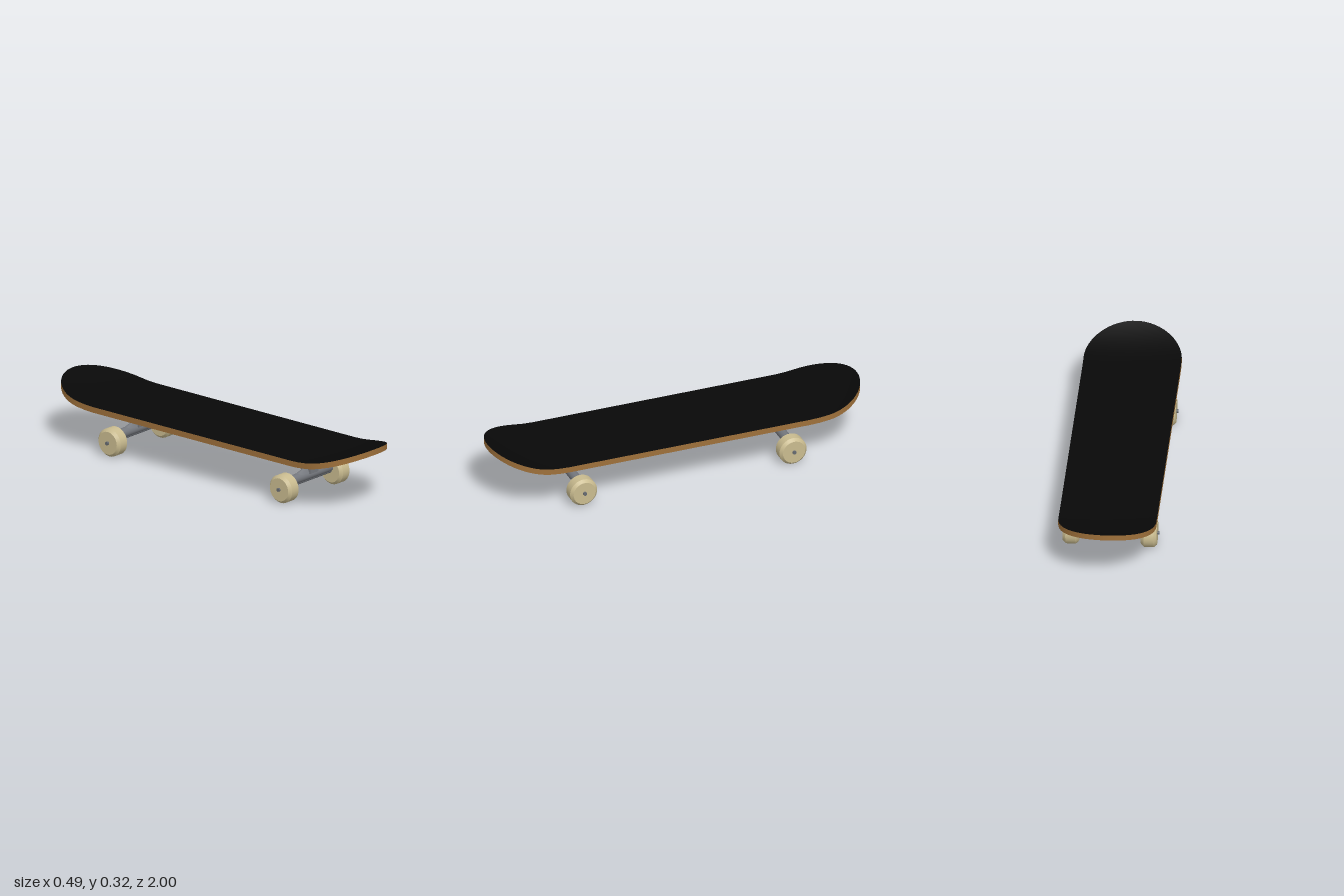
import * as THREE from 'three';

const mat = (name, color) => {
  const m = new THREE.MeshStandardMaterial({ color });
  m.name = name;
  return m;
};

const R = 0.247, C = 0.753;          // deck half width, start of the rounded ends
const THICK = 0.03, KICK_START = 0.65;

// Half width of the deck at z
const halfWidth = (z) => {
  const d = Math.max(Math.abs(z) - C, 0);
  return Math.sqrt(Math.max(R * R - d * d, 0));
};

// Underside height: shallow concave across, upturned nose and tail
const deckY = (x, z) => {
  const t = Math.max(Math.abs(z) - KICK_START, 0) / (1 - KICK_START);
  return 0.209 + 0.011 * (x / R) ** 2 + 0.085 * t * t;
};

// Surface from a rule giving a point for each column i and row j
function surface(nu, nv, point) {
  const pos = [], index = [];
  for (let i = 0; i <= nu; i++) for (let j = 0; j <= nv; j++) pos.push(...point(i, j));
  for (let i = 0; i < nu; i++) for (let j = 0; j < nv; j++) {
    const a = i * (nv + 1) + j, b = a + nv + 1;
    index.push(a, a + 1, b, b, a + 1, b + 1);
  }
  const g = new THREE.BufferGeometry();
  g.setAttribute('position', new THREE.Float32BufferAttribute(pos, 3));
  g.setIndex(index);
  g.computeVertexNormals();
  return g;
}

export function createModel() {
  const grip = mat('black grip', 0x080808);
  const wood = mat('wood edge', 0x9e703a);
  const red = mat('dark red underside', 0x8b1a0a);
  const metal = mat('grey metal', 0x74777d);
  const steel = mat('axle steel', 0x666a70);
  const cream = mat('cream wheel', 0xc9bb8f);

  const model = new THREE.Group();
  model.name = 'skateboard';
  const add = (parent, name, geometry, material, x = 0, y = 0, z = 0) => {
    const mesh = new THREE.Mesh(geometry, material);
    mesh.name = name;
    mesh.position.set(x, y, z);
    parent.add(mesh);
    return mesh;
  };

  // Stations along the deck, closer together around the rounded ends
  const END = 16, MID = 30, zs = [];
  for (let k = 0; k < END; k++) zs.push(-C - R * Math.cos(k / END * Math.PI / 2));
  for (let k = 0; k <= MID; k++) zs.push(-C + 2 * C * k / MID);
  for (let k = 1; k <= END; k++) zs.push(C + R * Math.sin(k / END * Math.PI / 2));
  const N = zs.length - 1, ACROSS = 16;

  // Deck: grip on top, painted underside, wooden edge
  const deck = new THREE.Group();
  deck.name = 'deck';
  model.add(deck);
  const face = (dir, lift) => surface(ACROSS, N, (i, j) => {
    const x = dir * halfWidth(zs[j]) * (2 * i / ACROSS - 1);
    return [x, deckY(x, zs[j]) + lift, zs[j]];
  });
  add(deck, 'gripTop', face(1, THICK), grip);
  add(deck, 'underside', face(-1, 0), red);
  add(deck, 'deckEdge', surface(2 * N, 1, (i, j) => {
    const z = zs[i <= N ? i : 2 * N - i];
    const x = (i <= N ? 1 : -1) * halfWidth(z);
    return [x, deckY(x, z) + j * THICK, z];
  }), wood);

  // Chamfered wheel profile, turned about its axle
  const profile = [[0, -0.04], [0.055, -0.04], [0.06, -0.04], [0.0735, -0.025],
    [0.0735, 0.025], [0.06, 0.04], [0.055, 0.04], [0, 0.04]];
  // Each band is its own lathe so that the chamfers stay crisp
  const wheel = (parent, side) => {
    const group = new THREE.Group();
    group.name = side > 0 ? 'leftWheel' : 'rightWheel';
    group.position.set(side * 0.197, 0.0745, 0);
    group.rotation.z = -Math.PI / 2;
    parent.add(group);
    for (let k = 0; k < profile.length - 1; k++) {
      const pts = [profile[k], profile[k + 1]].map((p) => new THREE.Vector2(...p));
      const band = new THREE.LatheGeometry(pts, 32);
      band.normalizeNormals();
      add(group, 'wheelBand', band, cream);
    }
  };

  // Trucks, one at each end
  for (const end of [1, -1]) {
    const truck = new THREE.Group();
    truck.name = end > 0 ? 'frontTruck' : 'backTruck';
    truck.position.z = end * 0.567;
    truck.rotation.y = end > 0 ? 0 : Math.PI;
    model.add(truck);
    add(truck, 'basePlate', new THREE.BoxGeometry(0.148, 0.024, 0.154), metal, 0, 0.2, 0);
    add(truck, 'pivotBlock', new THREE.BoxGeometry(0.06, 0.08, 0.062), metal, 0, 0.152, 0);
    add(truck, 'hanger', new THREE.CylinderGeometry(0.025, 0.025, 0.306, 24), metal, 0, 0.1, 0)
      .rotation.z = Math.PI / 2;
    add(truck, 'hangerShoulder', new THREE.CylinderGeometry(0.03, 0.125, 0.03, 24), metal, 0, 0.132, 0)
      .scale.z = 0.2;
    add(truck, 'axle', new THREE.CylinderGeometry(0.0095, 0.0095, 0.494, 16), steel, 0, 0.0755, 0)
      .rotation.z = Math.PI / 2;
    for (const side of [1, -1]) wheel(truck, side);
  }
  return model;
}
